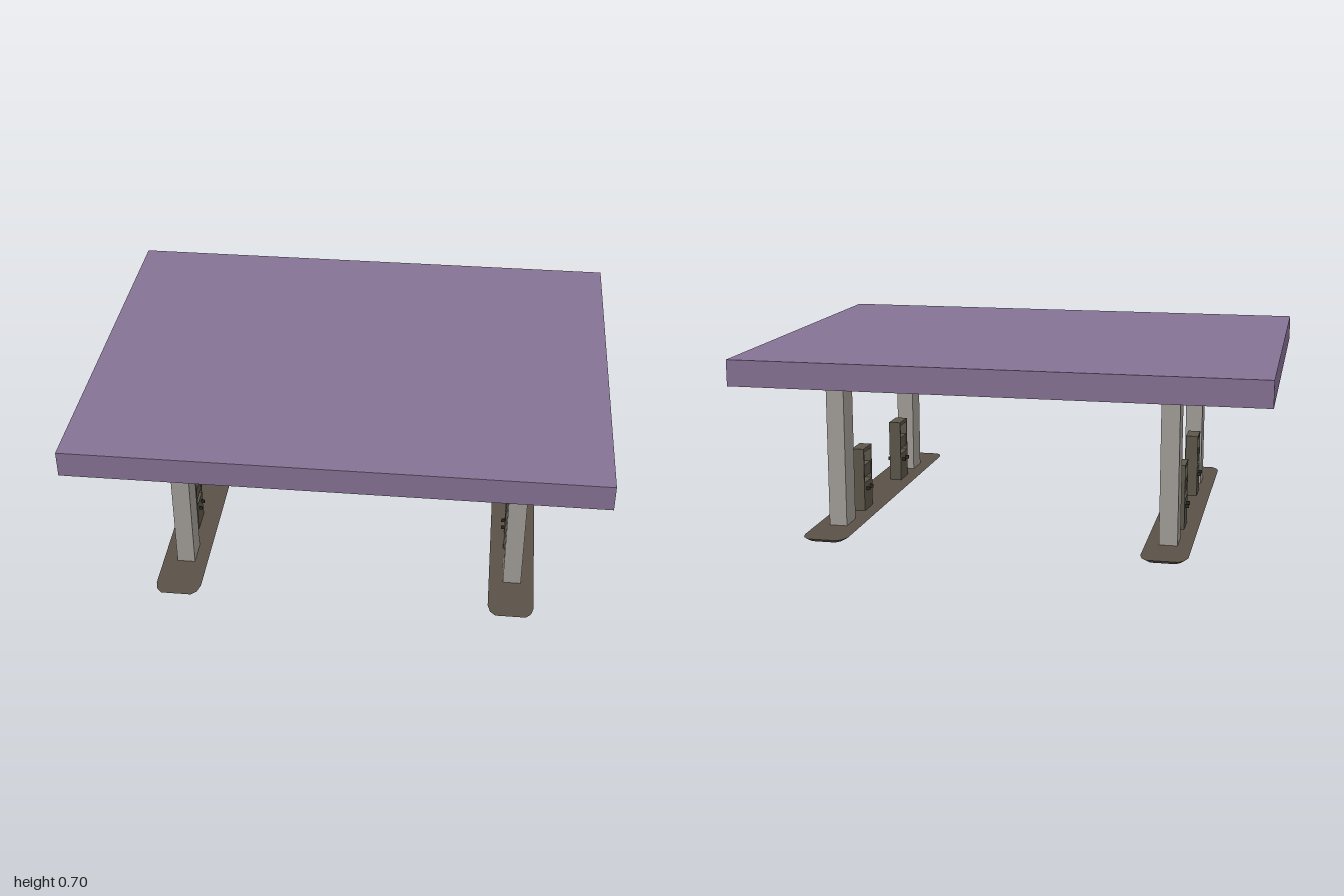
import * as THREE from 'three';

const flat = (name, color) => {
  const m = new THREE.MeshStandardMaterial({ color });
  m.name = name;
  return m;
};

export function createModel() {
  const purple = flat('canopy purple', 0x867295);
  const concrete = flat('column grey', 0xa39e98);
  const metal = flat('pump grey', 0x5d574b);
  const paving = flat('island brown', 0x5a5048);
  const dark = flat('nozzle dark', 0x2c2a27);

  const root = new THREE.Group();
  root.name = 'fuelStation';

  const add = (parent, name, geometry, material, x, y, z) => {
    const mesh = new THREE.Mesh(geometry, material);
    mesh.name = name;
    mesh.position.set(x, y, z);
    parent.add(mesh);
    return mesh;
  };
  // Box given by centre x and z, bottom and top y
  const box = (parent, name, material, w, d, y0, y1, x, z) =>
    add(parent, name, new THREE.BoxGeometry(w, y1 - y0, d), material, x, (y0 + y1) / 2, z);

  // Raised island with clipped, slightly rounded corners and an undercut rim
  const islandGeometry = () => {
    const hw = 0.088, hl = 0.71, h = 0.014;
    const corner = [[hw, hl - 0.055], [hw - 0.01, hl - 0.02], [hw - 0.03, hl]];
    const back = [...corner].reverse();
    const points = [
      ...corner,
      ...back.map(([x, z]) => [-x, z]),
      ...corner.map(([x, z]) => [-x, -z]),
      ...back.map(([x, z]) => [x, -z]),
    ].map(([x, z]) => new THREE.Vector2(x, z));
    const g = new THREE.ExtrudeGeometry(new THREE.Shape(points), { depth: h, bevelEnabled: false });
    g.rotateX(-Math.PI / 2);
    const p = g.attributes.position;
    for (let i = 0; i < p.count; i++) {
      if (p.getY(i) < h / 2) p.setXYZ(i, p.getX(i) * 0.8, 0, p.getZ(i) * 0.972);
    }
    g.computeVertexNormals();
    return g;
  };

  // Pump: cabinet, open slot, display band, open window and top bar
  const pump = (x, z) => {
    const g = new THREE.Group();
    g.name = 'pump';
    g.position.set(x, 0, z);
    const w = 0.05, d = 0.102, post = 0.008;
    box(g, 'cabinet', metal, w, d, 0.01, 0.13, 0, 0);
    box(g, 'displayBand', metal, w - 0.006, d - 2 * post, 0.15, 0.2, 0, 0);
    box(g, 'topBar', metal, w, d, 0.255, 0.27, 0, 0);
    for (const s of [-1, 1]) {
      box(g, 'sidePost', metal, w, post, 0.13, 0.255, 0, s * (d - post) / 2);
      // Two nozzles on each broad side
      for (const t of [-1, 1]) {
        box(g, 'nozzle', dark, 0.014, 0.005, 0.094, 0.108, s * (w / 2 + 0.007), t * 0.022);
      }
    }
    root.add(g);
  };

  box(root, 'canopy', purple, 2, 1.545, 0.605, 0.705, 0, 0);

  for (const x of [-0.621, 0.673]) {
    add(root, 'island', islandGeometry(), paving, x, 0, 0);
    for (const s of [-1, 1]) {
      box(root, 'column', concrete, 0.07, 0.105, 0.01, 0.605, x + 0.002, s * 0.462);
    }
    for (const z of [0.258, -0.245]) pump(x - 0.01, z);
  }
  return root;
}
